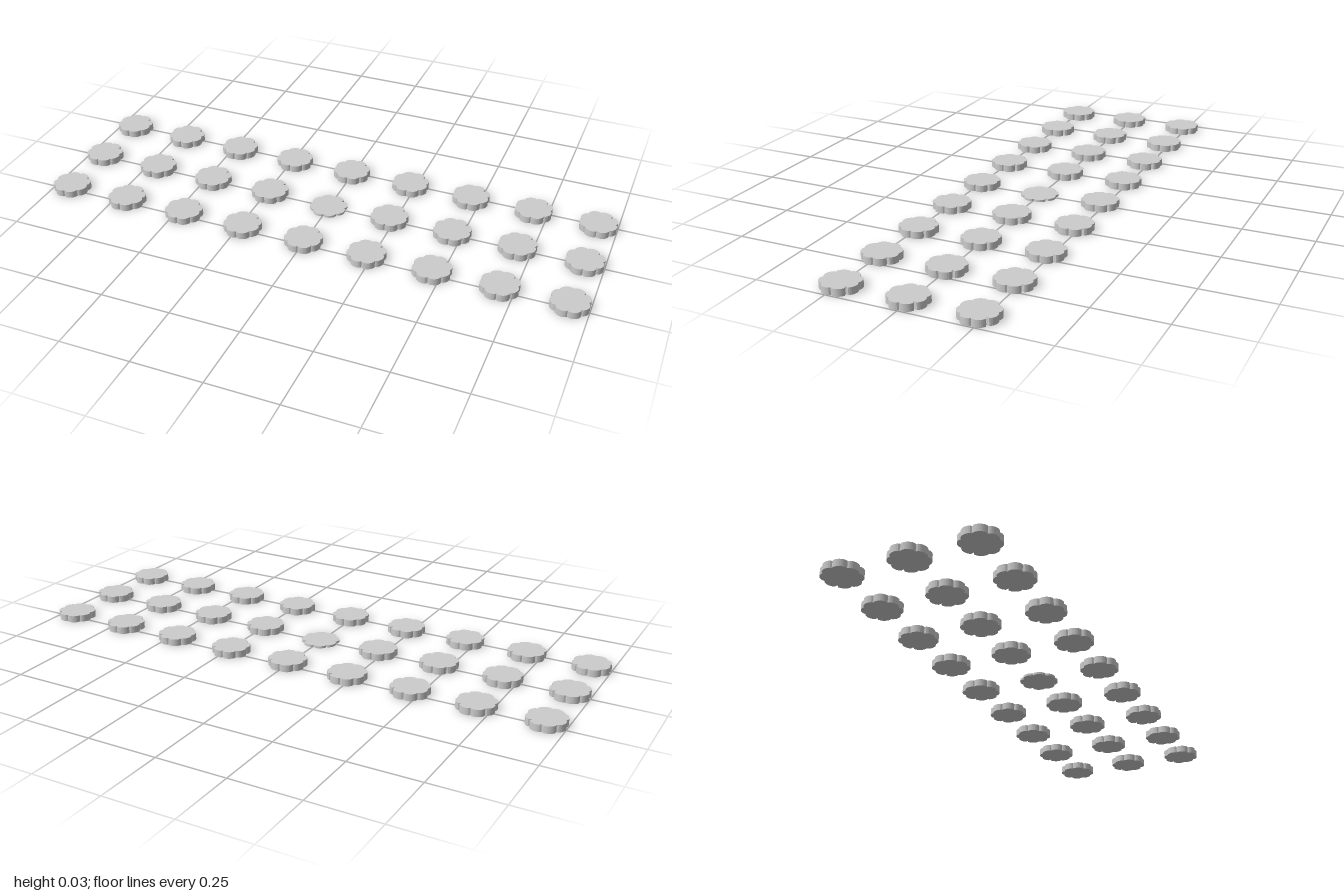
import * as THREE from 'three';

const COLUMNS = 9, ROWS = 3;
const PITCH_X = 0.2332, PITCH_Z = 0.235;
const HEIGHT = 0.025, THIN = 0.008;
const LOBES = 8, STEPS = 10;
const FIRST_NOTCH = 0.05; // angle of the first notch, counter-clockwise from +x

// Scalloped outline: rounded lobes that meet in sharp notches, one cut deeper
function scallopShape() {
  const points = [];
  for (let lobe = 0; lobe < LOBES; lobe++) {
    for (let i = 0; i < STEPS; i++) {
      const t = i / STEPS;
      const angle = FIRST_NOTCH + ((lobe + t) / LOBES) * Math.PI * 2;
      const deep = lobe === 1 && i === 0 ? 0.007 : 0;
      const r = 0.0595 + 0.0085 * Math.pow(Math.sin(Math.PI * t), 0.6) - deep;
      points.push(new THREE.Vector2(r * Math.cos(angle), r * Math.sin(angle)));
    }
  }
  return new THREE.Shape(points);
}

// Solid disc lying flat with its base on y = 0
function discGeometry(height) {
  const geometry = new THREE.ExtrudeGeometry(scallopShape(), { depth: height, bevelEnabled: false });
  geometry.rotateX(-Math.PI / 2);
  return geometry;
}

export function createModel() {
  const model = new THREE.Group();
  model.name = 'scallopedDiscs';
  const material = new THREE.MeshStandardMaterial({ color: 0xcccccc });
  const thick = discGeometry(HEIGHT);
  const thin = discGeometry(THIN);

  // Grid of discs; the middle one is a thin plate
  for (let row = 0; row < ROWS; row++) {
    for (let column = 0; column < COLUMNS; column++) {
      const x = (column - (COLUMNS - 1) / 2) * PITCH_X;
      const z = (row - (ROWS - 1) / 2) * PITCH_Z;
      const isCentre = x === 0 && z === 0;
      const disc = new THREE.Mesh(isCentre ? thin : thick, material);
      disc.name = isCentre ? 'centrePlate' : `disc_row${row + 1}_column${column + 1}`;
      disc.position.set(x, 0, z);
      model.add(disc);
    }
  }
  return model;
}
